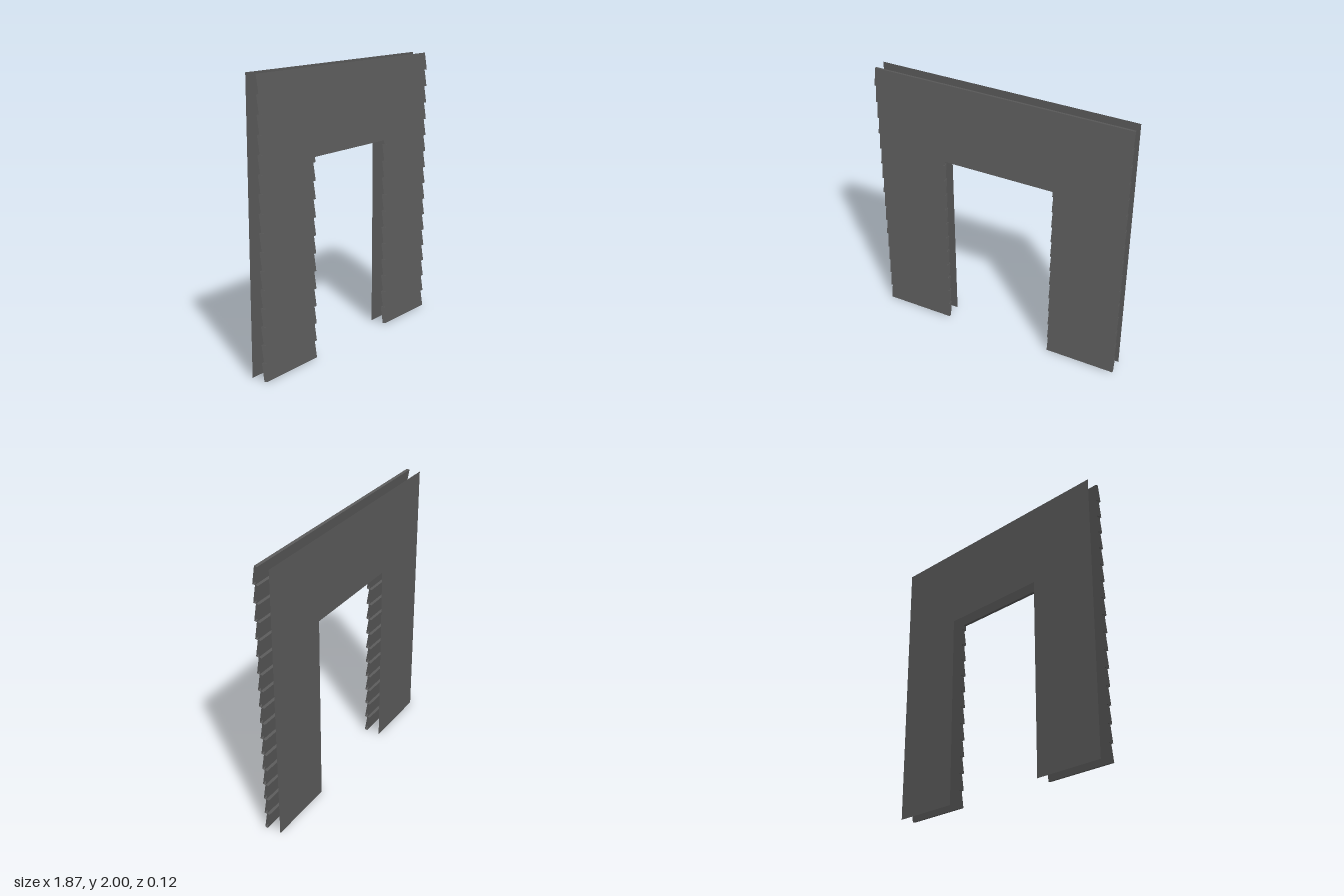
import * as THREE from 'three';

const HALF_W = 0.935, HEIGHT = 2;      // wall
const DOOR_W = 0.413, DOOR_H = 1.41;   // doorway half width and height
const ROWS = 16, DEPTH = 0.0625;
const LEAN = 0.02;                     // how far each board kicks out at its foot
const THICK_Z = 0.0208, THICK_Y = 0.0033;
const PITCH = (HEIGHT - THICK_Y) / ROWS;

// Open-ended leaning board, optionally cut level at height `cut`
function boardGeometry(x0, x1, y, cut = -1) {
  const atHeight = (h, footY, footZ) => h > footY
    ? [h, footZ - LEAN * (h - footY) / PITCH]
    : [footY, footZ];
  const backZ = DEPTH - THICK_Z;
  const section = [
    atHeight(cut, y + THICK_Y, DEPTH),
    [y + THICK_Y + PITCH, DEPTH - LEAN],
    [y + PITCH, backZ - LEAN],
    atHeight(cut, y, backZ),
  ];
  const positions = [];
  section.forEach(([py, pz], i) => {
    const [qy, qz] = section[(i + 1) % section.length];
    positions.push(
      x0, py, pz, x1, py, pz, x1, qy, qz,
      x0, py, pz, x1, qy, qz, x0, qy, qz,
    );
  });
  const geometry = new THREE.BufferGeometry();
  geometry.setAttribute('position', new THREE.Float32BufferAttribute(positions, 3));
  geometry.computeVertexNormals();
  return geometry;
}

export function createModel() {
  const model = new THREE.Group();
  model.name = 'sidingWallWithDoorway';

  const darkGrey = new THREE.MeshStandardMaterial({ color: 0x595959, side: THREE.DoubleSide });
  darkGrey.name = 'dark grey';

  const add = (parent, name, geometry) => {
    const mesh = new THREE.Mesh(geometry, darkGrey);
    mesh.name = name;
    parent.add(mesh);
    return mesh;
  };

  // Lapped siding boards, split around the doorway
  const siding = new THREE.Group();
  siding.name = 'siding';
  model.add(siding);
  for (let i = 0; i < ROWS; i++) {
    const y = i * PITCH;
    if (y >= DOOR_H) {
      add(siding, 'fullBoard', boardGeometry(-HALF_W, HALF_W, y));
      continue;
    }
    add(siding, 'rightBoard', boardGeometry(-HALF_W, -DOOR_W, y));
    add(siding, 'leftBoard', boardGeometry(DOOR_W, HALF_W, y));
    if (y + PITCH > DOOR_H) {
      add(siding, 'lintelBoard', boardGeometry(-DOOR_W, DOOR_W, y, DOOR_H));
    }
  }

  // Flat inner wall sheet with the same doorway
  const outline = [
    [-HALF_W, 0], [-DOOR_W, 0], [-DOOR_W, DOOR_H], [DOOR_W, DOOR_H],
    [DOOR_W, 0], [HALF_W, 0], [HALF_W, HEIGHT], [-HALF_W, HEIGHT],
  ];
  const shape = new THREE.Shape(outline.map(([x, y]) => new THREE.Vector2(x, y)));
  const sheet = add(model, 'innerWall', new THREE.ShapeGeometry(shape));
  sheet.rotation.y = Math.PI; // faces the back
  sheet.position.z = -DEPTH;

  return model;
}
